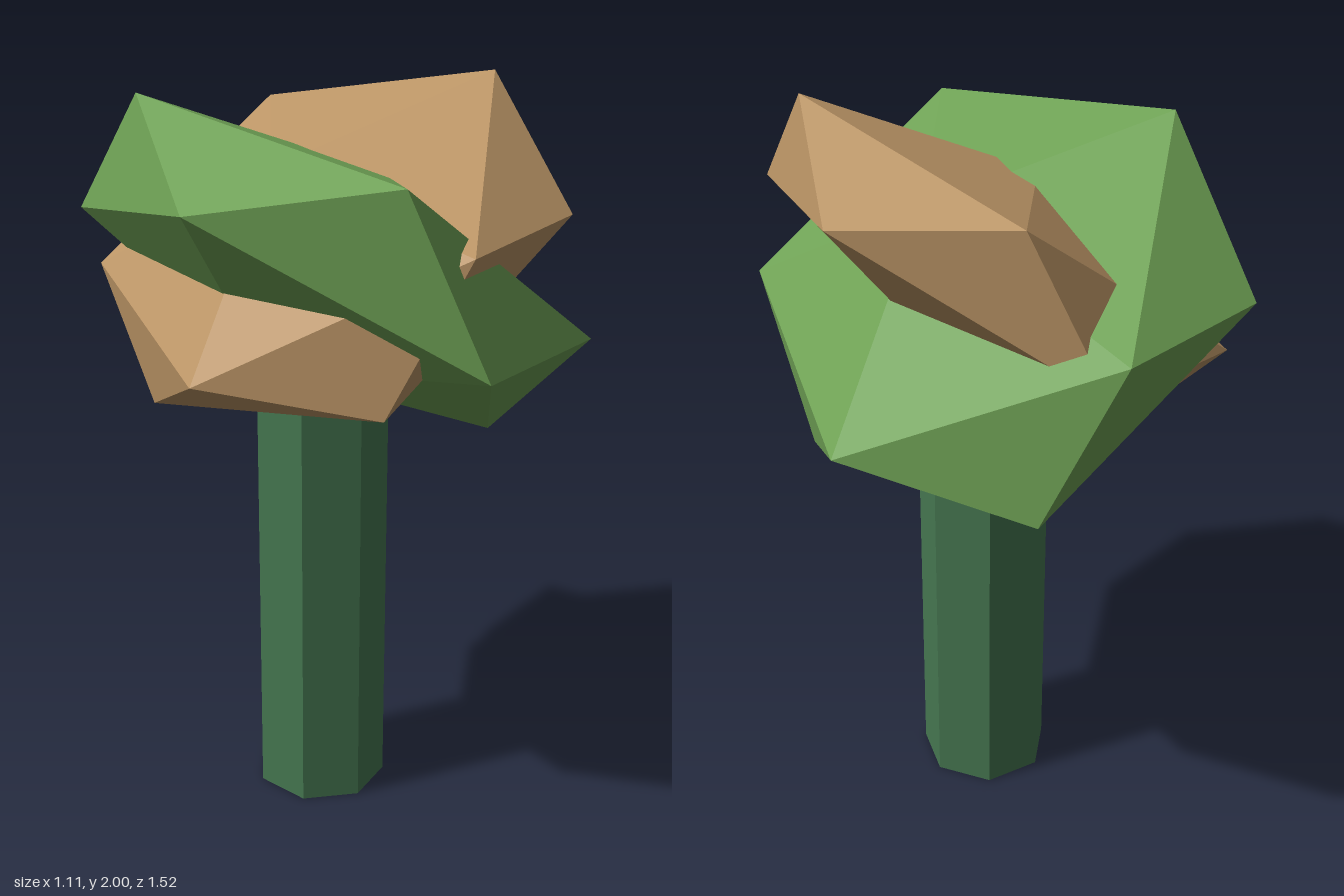
import * as THREE from 'three';

const flat = (name, color) => {
  const m = new THREE.MeshStandardMaterial({ color, flatShading: true });
  m.name = name;
  return m;
};

// Squashed, tilted icosahedron: the three axes set its stretch and tilt.
function clump(name, material, centre, xAxis, yAxis, zAxis) {
  const golden = (1 + Math.sqrt(5)) / 2;
  const geometry = new THREE.IcosahedronGeometry(Math.hypot(1, golden), 0);
  const frame = new THREE.Matrix4().makeBasis(
    new THREE.Vector3(...xAxis),
    new THREE.Vector3(...yAxis),
    new THREE.Vector3(...zAxis)
  ).setPosition(...centre);
  geometry.applyMatrix4(frame);
  geometry.computeVertexNormals();
  const mesh = new THREE.Mesh(geometry, material);
  mesh.name = name;
  return mesh;
}

export function createModel() {
  const model = new THREE.Group();
  model.name = 'tree';

  // Seven-sided trunk, its top hidden in the crown
  const height = 1.5;
  const trunk = new THREE.Mesh(
    new THREE.CylinderGeometry(0.182, 0.182, height, 7),
    flat('darkGreen', 0x457650)
  );
  trunk.name = 'trunk';
  trunk.position.y = height / 2;
  model.add(trunk);

  // Two crossing slabs of foliage
  model.add(
    clump('greenFoliage', flat('leafGreen', 0x6fa255), [0, 1.497, 0],
      [-0.225, 0, 0.07], [0.09, -0.065, 0.4265], [-0.191, 0.242, 0.122]),
    clump('brownFoliage', flat('lightBrown', 0xba9465), [0, 1.573, 0],
      [0.286, 0.207, -0.002], [-0.042, 0.056, -0.341], [-0.071, 0.09, 0.213])
  );
  return model;
}
